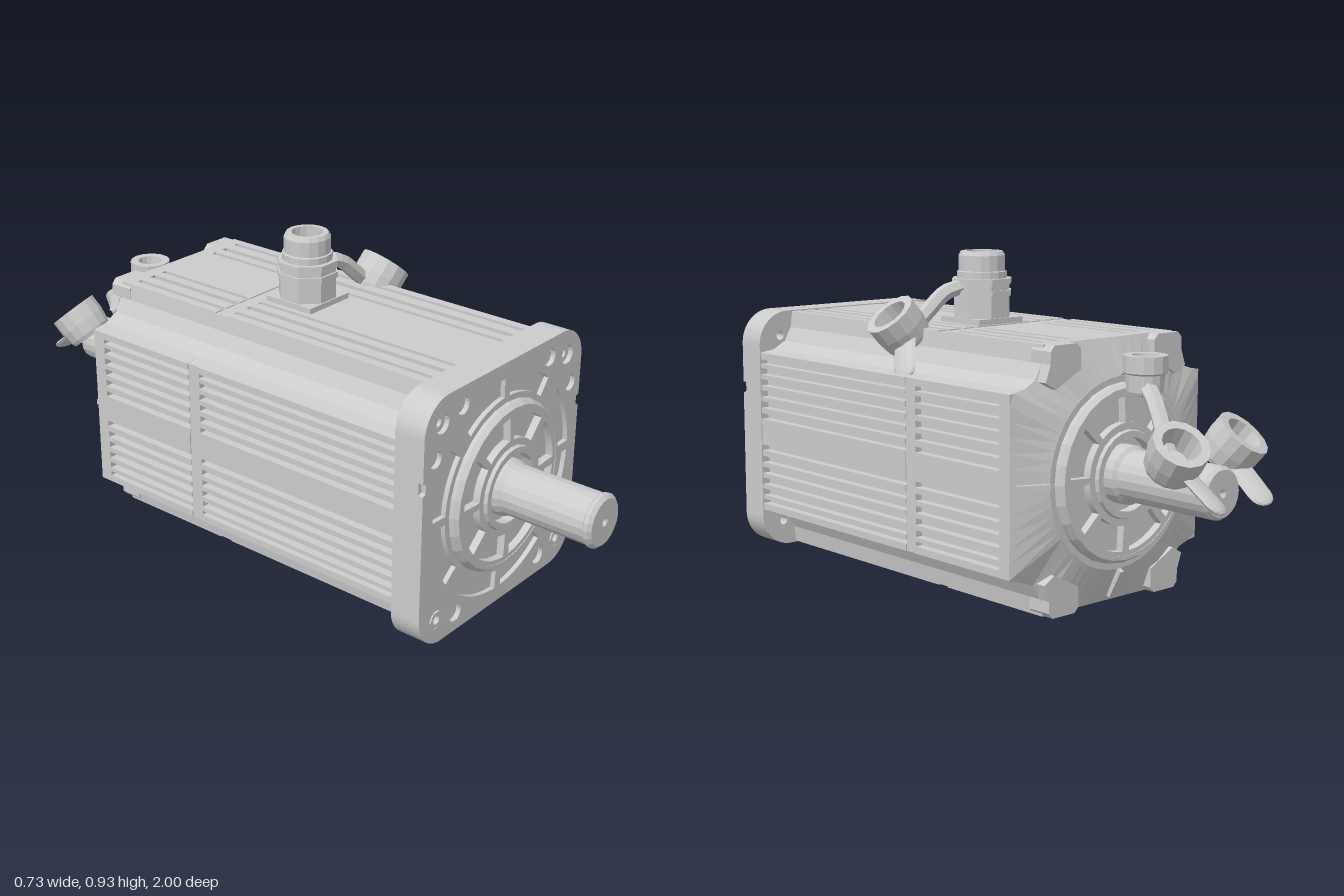
import * as THREE from 'three';

const CY = 0.366; // height of the shaft axis
const grey = new THREE.MeshStandardMaterial({ color: 0xcccccc, flatShading: true, side: THREE.DoubleSide });
const V = (x, y, z) => new THREE.Vector3(x, y, z);
const UP = V(0, 1, 0);

export function createModel() {
  const model = new THREE.Group();
  model.name = 'electricMotor';

  const add = (name, geometry, x = 0, y = 0, z = 0, parent = model) => {
    const mesh = new THREE.Mesh(geometry, grey);
    mesh.name = name;
    mesh.position.set(x, y, z);
    parent.add(mesh);
    return mesh;
  };
  const lathe = (pts, sides) => new THREE.LatheGeometry(pts.map(p => new THREE.Vector2(...p)), sides);
  const slab = (name, shape, z0, z1) => add(name, new THREE.ExtrudeGeometry(shape,
    { depth: z1 - z0, bevelEnabled: false, curveSegments: 8 }), 0, CY, z0);
  const circle = (x, y, r) => new THREE.Path().absarc(x, y, r, 0, Math.PI * 2, true);
  const sector = (r0, r1, a0, a1) => {
    const p = new THREE.Path();
    p.absarc(0, 0, r1, a0, a1, false);
    p.absarc(0, 0, r0, a1, a0, true);
    p.closePath();
    return p;
  };

  // Rounded square flange outline, its sides nicked to the given depth
  const flangeShape = nick => {
    const s = new THREE.Shape(), h = 0.363, r = 0.1, c = h - r, n = h - nick;
    s.moveTo(h, -c);
    [[h, 0.11], [n, 0.115], [n, 0.14], [h, 0.145], [h, c]].forEach(p => s.lineTo(...p));
    s.absarc(c, c, r, 0, Math.PI / 2, false);
    s.absarc(-c, c, r, Math.PI / 2, Math.PI, false);
    [[-h, 0.145], [-n, 0.14], [-n, 0.115], [-h, 0.11]].forEach(p => s.lineTo(...p));
    s.absarc(-c, -c, r, Math.PI, Math.PI * 1.5, false);
    s.absarc(c, -c, r, Math.PI * 1.5, Math.PI * 2, false);
    return s;
  };

  // Finned housing profile: four grooved sides (right, top, left, bottom) and hollow corners that clear the bolts
  const sideGrooves = [[0.04, 0.057], [0.074, 0.094], [0.108, 0.128], [0.142, 0.162], [0.176, 0.196], [0.208, 0.222]];
  const topGrooves = [[0.1, 0.115], [0.145, 0.165], [0.2, 0.215]];
  const housingShape = (h, sides) => {
    const pts = [];
    sides.forEach((grooves, k) => {
      const both = [...grooves.map(([a, b]) => [-b, -a]).reverse(), ...grooves];
      const line = [[h, -0.242]];
      both.forEach(([a, b]) => line.push([h, a], [h - 0.024, a], [h - 0.024, b], [h, b]));
      line.push([h, 0.242], [0.312, 0.249], [0.271, 0.271], [0.249, 0.312]);
      line.forEach(p => pts.push(new THREE.Vector2(...p).rotateAround(new THREE.Vector2(), k * Math.PI / 2)));
    });
    return new THREE.Shape(pts);
  };
  const plainShape = housingShape(0.36, [[], [], [], []]);
  const finnedShape = housingShape(0.36, [sideGrooves, topGrooves, sideGrooves, sideGrooves]);
  slab('frontHousing', finnedShape, -0.1, 0.6);
  slab('housingBand', housingShape(0.357, [[], [], [], []]), -0.14, -0.1);
  slab('rearHousing', finnedShape, -0.49, -0.14);

  // Front flange: drilled back plate and pocketed face
  const corners = [[1, 1], [-1, 1], [-1, -1], [1, -1]];
  const back = flangeShape(0);
  const face = flangeShape(0.012);
  for (const [sx, sy] of corners) {
    back.holes.push(circle(sx * 0.288, sy * 0.288, 0.013));
    face.holes.push(circle(sx * 0.288, sy * 0.288, 0.028));
    face.holes.push(circle(sx * 0.2, sy * 0.308, 0.026));
  }
  for (const s of [-1, 1]) face.holes.push(circle(s * 0.312, 0.195, 0.024));
  for (let q = 0; q < 4; q++) {
    const a = q * Math.PI / 2;
    face.holes.push(sector(0.262, 0.318, a + 0.045, a + 0.67), sector(0.262, 0.318, a + 0.9, a + 1.526));
  }
  slab('flangeBack', back, 0.59, 0.668);
  slab('flangeFace', face, 0.668, 0.682);
  for (const s of [-1, 1]) {
    const nut = new THREE.Shape();
    for (let i = 0; i < 6; i++) nut[i ? 'lineTo' : 'moveTo'](s * 0.288 + 0.027 * Math.cos(i * Math.PI / 3),
      -0.288 + 0.027 * Math.sin(i * Math.PI / 3));
    nut.holes.push(circle(s * 0.288, -0.288, 0.013));
    slab('flangeNut', nut, 0.666, 0.684);
  }

  // Ribbed bearing covers with sloping rims and a raised hub, on both ends
  const rim = lathe([[0.246, 0], [0.244, 0.012], [0.234, 0.026], [0.224, 0.026], [0.224, 0]], 28);
  const hub = lathe([[0.1, 0], [0.122, 0], [0.118, 0.012], [0.1, 0.012], [0.1, 0]], 24);
  const cover = (end, z, dir) => {
    const s = new THREE.Shape();
    s.absarc(0, 0, 0.23, 0, Math.PI * 2, false);
    s.holes.push(circle(0, 0, 0.102));
    for (let i = 0; i < 8; i++) {
      const a = i * Math.PI / 4;
      s.holes.push(sector(0.14, 0.21, a + 0.06, a + Math.PI / 4 - 0.06));
    }
    const disc = new THREE.ExtrudeGeometry(s, { depth: 0.024, bevelEnabled: false, curveSegments: 12 });
    add(end + 'Cover', disc, 0, CY, dir > 0 ? z : z - 0.024);
    add(end + 'CoverRim', rim, 0, CY, z).rotation.x = dir * Math.PI / 2;
    add(end + 'HubRim', hub, 0, CY, z + dir * 0.022).rotation.x = dir * Math.PI / 2;
  };
  cover('front', 0.68, 1);
  cover('rear', -0.566, -1);

  // Shaft running through both ends, with collars and centre holes
  add('shaft', lathe([[0, -0.91], [0.012, -0.92], [0.062, -0.92], [0.07, -0.91], [0.07, -0.62], [0.08, -0.61],
    [0.08, 0.71], [0.072, 0.725], [0.072, 0.975], [0.076, 0.98], [0.076, 0.99], [0.066, 1], [0.013, 1], [0, 0.985]], 20),
    0, CY, 0).rotation.x = Math.PI / 2;

  // Rear bell: end plate with hollow corners sloping in to a round cover seat
  slab('endPlate', plainShape, -0.52, -0.48);
  const loop = plainShape.getSpacedPoints(64).slice(0, 64);
  const pos = [], idx = [];
  loop.forEach((p, i) => {
    const q = p.clone().setLength(0.262), j = (i + 1) % loop.length;
    pos.push(p.x, p.y, -0.52, q.x, q.y, -0.566);
    idx.push(2 * i + 1, 2 * j + 1, 2 * i, 2 * j + 1, 2 * j, 2 * i);
  });
  const bell = new THREE.BufferGeometry();
  bell.setAttribute('position', new THREE.Float32BufferAttribute(pos, 3));
  bell.setIndex(idx);
  bell.computeVertexNormals();
  add('rearBell', bell, 0, CY, 0);
  add('rearCoverSeat', new THREE.CylinderGeometry(0.263, 0.263, 0.05, 40), 0, CY, -0.542).rotation.x = Math.PI / 2;

  // Lugs on the top and bottom edges, hollowed to clear the bolts
  for (const [sx, sy] of corners) {
    const lug = new THREE.Shape();
    [[0.14, 0.345], [0.155, 0.36], [0.235, 0.36], [0.249, 0.345], [0.249, 0.312], [0.266, 0.266], [0.23, 0.245], [0.14, 0.29]]
      .forEach(([x, y], i) => lug[i ? 'lineTo' : 'moveTo'](sx * x, sy * y));
    slab('cornerLug', lug, -0.553, -0.48);
  }
  for (let i = 0; i < 4; i++) {
    const pivot = new THREE.Group();
    pivot.name = 'bellRib';
    pivot.position.y = CY;
    pivot.rotation.z = i * Math.PI / 2;
    add('rib', new THREE.BoxGeometry(0.09, 0.014, 0.022), 0.305, 0, -0.548, pivot).rotation.y = -0.48;
    model.add(pivot);
  }

  // Upright connector on the top
  const plug = new THREE.Group();
  plug.name = 'topConnector';
  plug.position.z = -0.01;
  model.add(plug);
  const octagon = (name, r, y0, y1) =>
    add(name, new THREE.CylinderGeometry(r, r, y1 - y0, 8).rotateY(Math.PI / 8), 0, (y0 + y1) / 2, 0, plug);
  add('basePlate', new THREE.BoxGeometry(0.166, 0.02, 0.166), 0, 0.732, 0, plug);
  octagon('body', 0.085, 0.74, 0.805);
  octagon('lowerCollar', 0.09, 0.803, 0.82);
  octagon('collarGroove', 0.084, 0.82, 0.837);
  octagon('upperCollar', 0.09, 0.837, 0.853);
  add('socket', lathe([[0.072, 0.85], [0.072, 0.872], [0.067, 0.874], [0.067, 0.918], [0.06, 0.93], [0.045, 0.93],
    [0.045, 0.87], [0.015, 0.87], [0.015, 0.9], [0, 0.9]], 16), 0, 0, 0, plug);

  // Protective caps, each a hollow cup with a flat pull tab
  const capGeometry = lathe([[0, 0], [0.064, 0], [0.07, 0.012], [0.076, 0.05], [0.076, 0.1],
    [0.052, 0.1], [0.045, 0.03], [0.02, 0.03], [0.02, 0.05], [0, 0.05]], 14);
  const cap = (base, axis, tabStart, tabEnd) => {
    add('protectiveCap', capGeometry, ...base).quaternion.setFromUnitVectors(UP, axis.normalize());
    const dir = tabEnd.clone().sub(tabStart), mid = tabStart.clone().lerp(tabEnd, 0.5);
    const tab = new THREE.CapsuleGeometry(0.037, dir.length() - 0.074, 4, 10).scale(1, 1, 0.3);
    add('pullTab', tab, ...mid).quaternion.setFromUnitVectors(UP, dir.normalize());
  };
  const strap = (...pts) => add('strap',
    new THREE.TubeGeometry(new THREE.CatmullRomCurve3(pts), 10, 0.023, 6));

  cap(V(0.238, 0.688, 0.026), V(0.62, 0.75, 0.12), V(0.27, 0.71, 0.01), V(0.345, 0.6, -0.085));
  strap(V(0.07, 0.83, 0), V(0.12, 0.815, 0.012), V(0.175, 0.768, 0.02), V(0.24, 0.71, 0.026));

  // Rear strap ring and its pair of caps
  add('strapRing', lathe([[0.03, 0], [0.05, 0], [0.052, 0.045], [0.06, 0.05], [0.06, 0.095], [0.036, 0.095],
    [0.03, 0.05], [0.03, 0]], 14), 0, 0.597, -0.65);
  for (const s of [-1, 1])
    cap(V(s * 0.1, 0.427, -0.825), V(s * 0.2, 0.75, -0.6), V(s * 0.1, 0.44, -0.86), V(s * 0.085, 0.337, -0.995));
  strap(V(0.015, 0.612, -0.67), V(0.045, 0.58, -0.725), V(0.08, 0.51, -0.79), V(0.1, 0.445, -0.83));

  return model;
}
